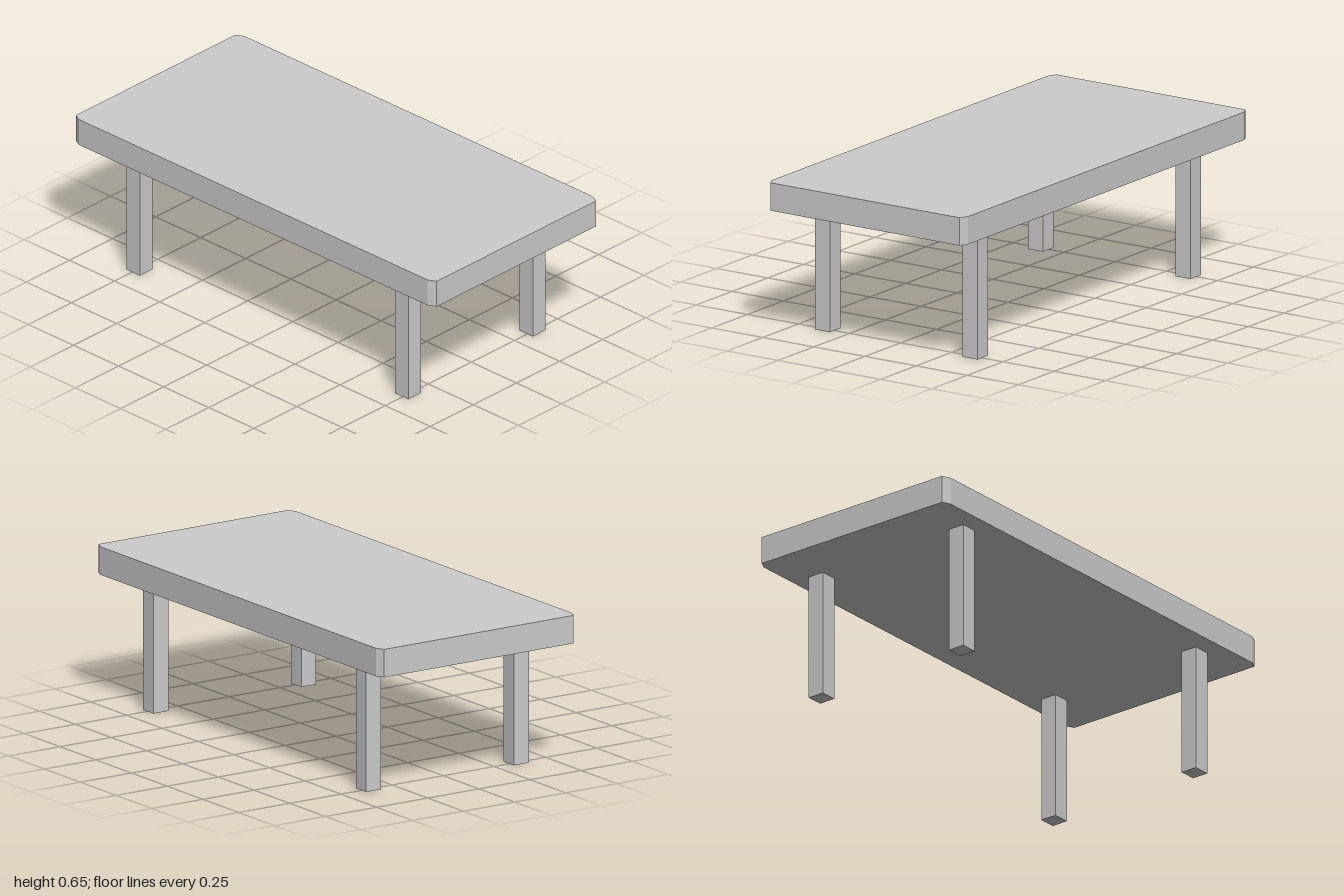
import * as THREE from 'three';

export function createModel() {
  const group = new THREE.Group();
  group.name = 'table';
  const material = new THREE.MeshStandardMaterial({ color: 0xcccccc, flatShading: true });

  const halfX = 1, halfZ = 0.48;        // top half extents
  const cutX = 0.034, cutZ = 0.017;     // corner chamfers
  const underside = 0.533, topY = 0.649;
  const legSize = 0.073, legX = 0.744, legZ = 0.361;

  // Slab with chamfered corners
  const outline = new THREE.Shape([
    [halfX - cutX, -halfZ], [halfX, -halfZ + cutZ],
    [halfX, halfZ - cutZ], [halfX - cutX, halfZ],
    [-halfX + cutX, halfZ], [-halfX, halfZ - cutZ],
    [-halfX, -halfZ + cutZ], [-halfX + cutX, -halfZ],
  ].map(([x, z]) => new THREE.Vector2(x, z)));
  const slab = new THREE.ExtrudeGeometry(outline, { depth: topY - underside, bevelEnabled: false });
  slab.rotateX(-Math.PI / 2);
  slab.translate(0, underside, 0);
  const tableTop = new THREE.Mesh(slab, material);
  tableTop.name = 'tableTop';
  group.add(tableTop);

  // Four square legs
  const legGeometry = new THREE.BoxGeometry(legSize, underside, legSize);
  for (const [xName, sx] of [['Left', 1], ['Right', -1]]) {
    for (const [zName, sz] of [['front', 1], ['back', -1]]) {
      const leg = new THREE.Mesh(legGeometry, material);
      leg.name = `${zName}${xName}Leg`;
      leg.position.set(sx * legX, underside / 2, sz * legZ);
      group.add(leg);
    }
  }
  return group;
}
